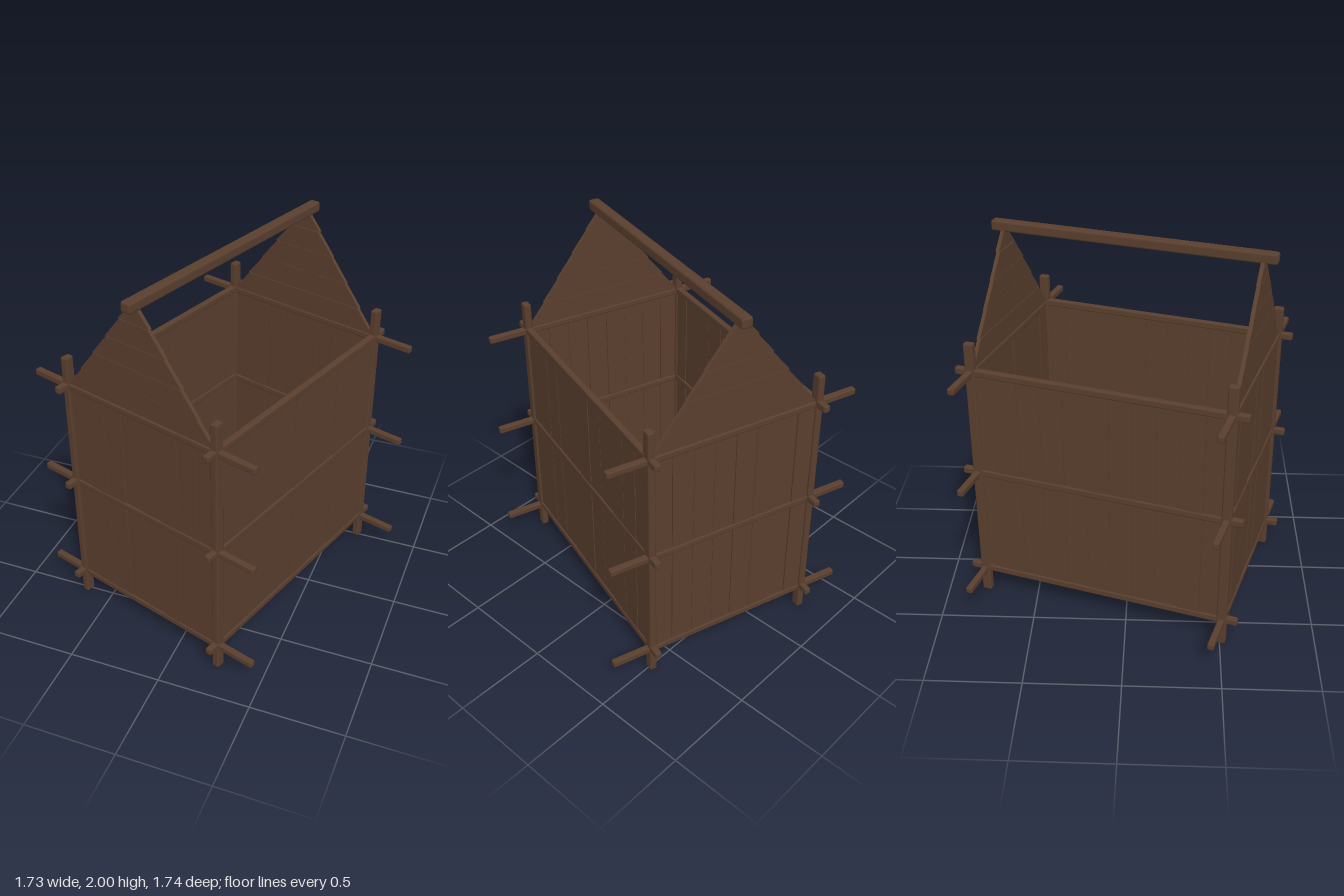
import * as THREE from 'three';
import { RoundedBoxGeometry } from 'three/addons/geometries/RoundedBoxGeometry.js';

const W = 0.47;   // half distance between posts across the short ends
const L = 0.676;  // half distance between posts along the long walls

export function createModel() {
  const wood = new THREE.MeshStandardMaterial({ color: 0x5a3f2e });
  wood.name = 'darkWood';

  const model = new THREE.Group();
  model.name = 'timberFrame';
  const frame = new THREE.Group();
  frame.name = 'frame';
  frame.rotation.y = -0.3;
  model.add(frame);

  let seed = 7;
  const jitter = (a) => {
    seed = (seed * 16807) % 2147483647;
    return (seed / 2147483647 - 0.5) * 2 * a;
  };

  const add = (name, geometry, x, y, z) => {
    const mesh = new THREE.Mesh(geometry, wood);
    mesh.name = name;
    mesh.position.set(x, y, z);
    frame.add(mesh);
    return mesh;
  };
  // Squared timber with worn edges
  const beam = (name, w, h, d, x, y, z) =>
    add(name, new RoundedBoxGeometry(w, h, d, 1, Math.min(w, h, d) * 0.22), x, y, z);

  // Corner posts
  for (const sx of [-1, 1]) for (const sz of [-1, 1]) {
    beam('cornerPost', 0.04, 1.525, 0.053, sx * W, 0.7625, sz * L);
  }

  // Rails lashed around the posts at three heights
  for (const y of [0.142, 0.77, 1.36]) {
    for (const s of [-1, 1]) {
      beam('endRail', 1.39, 0.036, 0.036, 0, y, s * L);
      beam('sideRail', 0.036, 0.038, 1.52, s * W, y + (y < 0.5 ? 0.012 : 0.005), 0);
    }
  }

  // Upright wall planks
  const y0 = 0.143, y1 = 1.36, planks = 0.02;
  const wallHeight = y1 - y0, yMid = (y0 + y1) / 2;
  const ends = 8, sides = 11;
  for (const s of [-1, 1]) {
    const we = (2 * W) / ends;
    for (let i = 0; i < ends; i++) {
      add('endPlank', new THREE.BoxGeometry(we - 0.003, wallHeight, planks),
        -W + we * (i + 0.5), yMid, s * L + jitter(0.003));
    }
    const ws = (2 * L) / sides;
    for (let i = 0; i < sides; i++) {
      add('sidePlank', new THREE.BoxGeometry(planks, wallHeight, ws - 0.003),
        s * W + jitter(0.003), yMid, -L + ws * (i + 0.5));
    }
  }

  // Gables of level boards, each cut to the roof slope
  const half = (y) => 0.75 * (1.985 - y);
  const levels = [1.375, 1.5, 1.62, 1.745, 1.865, 1.955];
  for (const s of [-1, 1]) {
    for (let i = 0; i < levels.length - 1; i++) {
      const bottom = levels[i], top = levels[i + 1] - 0.002;
      const b = half(bottom) + 0.004, t = half(top) - 0.004;
      const shape = new THREE.Shape([
        new THREE.Vector2(-b, bottom), new THREE.Vector2(b, bottom),
        new THREE.Vector2(t, top), new THREE.Vector2(-t, top),
      ]);
      const board = new THREE.ExtrudeGeometry(shape, { depth: 0.02, bevelEnabled: false });
      board.translate(0, 0, -0.01);
      add('gableBoard', board, 0, 0, s * L + jitter(0.002));
    }
  }

  // Ridge beam
  beam('ridgeBeam', 0.06, 0.056, 1.49, 0.012, 1.972, 0);

  return model;
}
